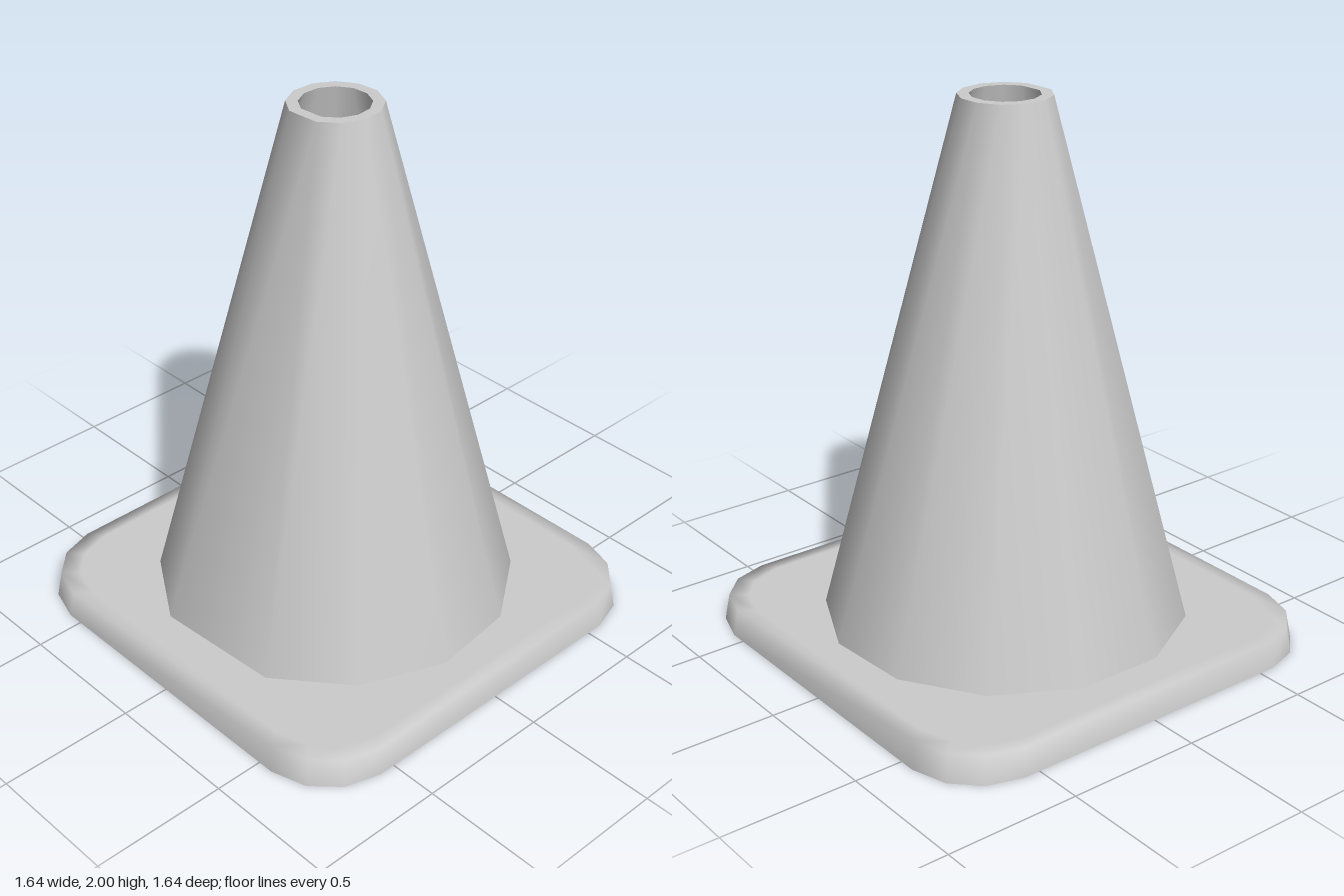
import * as THREE from 'three';
import { mergeVertices } from 'three/addons/utils/BufferGeometryUtils.js';

const STEP = 28.8; // eleven even facets and one wider one close the cone

// Twelve-sided cone ring
function coneRing(r, y) {
  return Array.from({ length: 12 }, (_, i) => {
    const a = THREE.MathUtils.degToRad(198 + STEP * i);
    return new THREE.Vector3(r * Math.cos(a), y, r * Math.sin(a));
  });
}

// Square base outline with cut corners, half width w
function baseRing(w, y) {
  const corner = [[0.82, 0.56], [0.78, 0.69], [0.69, 0.78], [0.56, 0.82]];
  const s = w / 0.82, pts = [];
  for (let q = 0; q < 4; q++) {
    for (const [x, z] of corner) {
      const p = new THREE.Vector3(x * s, y, z * s);
      for (let k = 0; k < q; k++) p.set(-p.z, y, p.x);
      pts.push(p);
    }
  }
  return pts;
}

// Band of triangles between two rings of equal count
function loft(a, b) {
  const tris = [];
  a.forEach((p, i) => {
    const j = (i + 1) % a.length;
    tris.push(p, b[i], a[j], a[j], b[i], b[j]);
  });
  return tris;
}

// Flat plate between an outline and a hole, facing up (1) or down (-1)
function plate(outer, hole, facing) {
  const flat = (ring) => ring.map((p) => new THREE.Vector2(p.x, p.z));
  const pts = [...outer, ...hole], tris = [];
  for (const [i, j, k] of THREE.ShapeUtils.triangulateShape(flat(outer), [flat(hole)])) {
    const [a, b, c] = [pts[i], pts[j], pts[k]];
    const ny = (b.z - a.z) * (c.x - a.x) - (b.x - a.x) * (c.z - a.z);
    tris.push(...(ny * facing > 0 ? [a, b, c] : [a, c, b]));
  }
  return tris;
}

export function createModel() {
  const group = new THREE.Group();
  const material = new THREE.MeshStandardMaterial({ color: 0xcccccc });

  // Each part is one smooth surface; hard edges lie between parts
  function add(name, ...pieces) {
    const geometry = mergeVertices(new THREE.BufferGeometry().setFromPoints(pieces.flat()));
    geometry.computeVertexNormals();
    const mesh = new THREE.Mesh(geometry, material);
    mesh.name = name;
    group.add(mesh);
  }

  const footOuter = baseRing(0.82, 0), footInner = baseRing(0.79, 0);
  const baseTop = baseRing(0.805, 0.1), baseInset = baseRing(0.75, 0.1);
  const recessTop = baseRing(0.775, 0.07), recessInset = baseRing(0.74, 0.07);
  const coneFoot = coneRing(0.66, 0.1), coneTip = coneRing(0.163, 2);
  const boreFoot = coneRing(0.595, 0.07), boreTip = coneRing(0.122, 2);
  const boreFlare = coneRing(0.65, 0.07);

  // Base slab with a softly shaded rim
  add('base', loft(footOuter, baseTop), loft(baseTop, baseInset), plate(baseInset, coneFoot, 1));
  // Outer cone wall
  add('cone', loft(coneFoot, coneTip));
  // Flat ring around the top opening
  add('topLip', loft(coneTip, boreTip));
  // Hollow cone flowing into the recessed underside
  add('innerShell', loft(boreTip, boreFoot), loft(boreFoot, boreFlare), plate(recessInset, boreFlare, -1),
    loft(recessInset, recessTop), loft(recessTop, footInner));
  // Narrow edge that rests on the floor
  add('footRim', loft(footInner, footOuter));

  return group;
}
